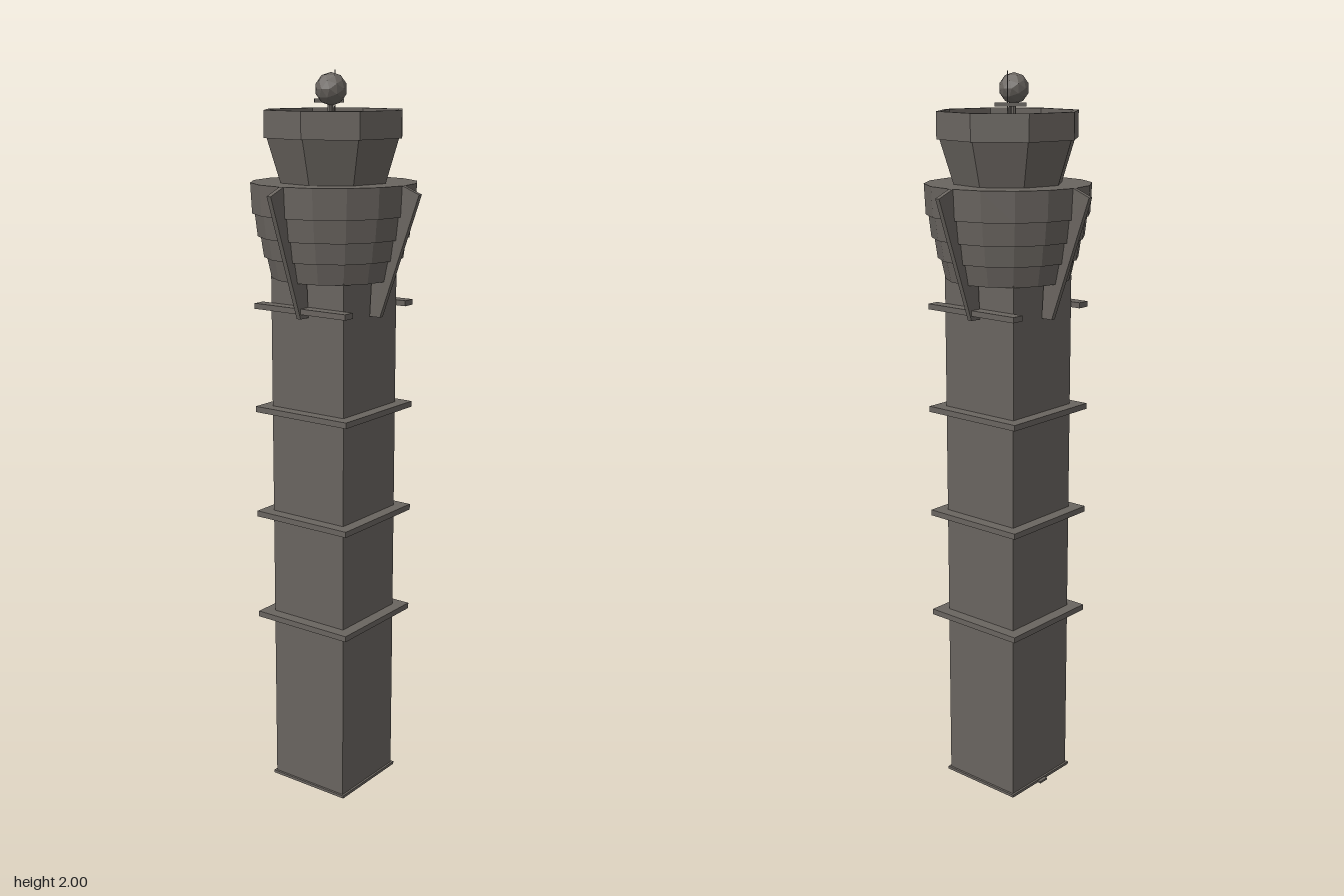
import * as THREE from 'three';

const concrete = new THREE.MeshStandardMaterial({ color: 0x69645f, flatShading: true, side: THREE.DoubleSide });
concrete.name = 'concrete grey';

export function createModel() {
  const tower = new THREE.Group();
  tower.name = 'controlTower';

  const add = (name, geometry, x = 0, y = 0, z = 0, turn = 0) => {
    const mesh = new THREE.Mesh(geometry, concrete);
    mesh.name = name;
    mesh.position.set(x, y, z);
    mesh.rotation.y = turn;
    tower.add(mesh);
    return mesh;
  };
  // Faceted solid of revolution from [radius, height] pairs, bottom to top
  const lathe = (points, sides) =>
    new THREE.LatheGeometry(points.map(([r, y]) => new THREE.Vector2(r, y)), sides);
  // Square collar around the shaft
  const collar = (name, half, low, high) => {
    const inner = 0.119 * Math.SQRT2, outer = half * Math.SQRT2;
    add(name, lathe([[inner, low], [outer, low], [outer, high], [inner, high]], 4), 0, 0, 0, Math.PI / 4);
  };

  // Square hollow shaft, footing and ledges
  const r = 0.12 * Math.SQRT2;
  add('shaft', lathe([[r, 0], [r, 1.47]], 4), 0, 0, 0, Math.PI / 4);
  collar('footing', 0.126, 0, 0.008);
  for (const y of [0.505, 0.805, 1.105]) collar('shaftLedge', 0.153, y - 0.008, y + 0.008);
  add('doorStep', new THREE.BoxGeometry(0.03, 0.006, 0.012), 0, 0.003, -0.13);

  // Short ledges under the pod, on two sides only
  for (const side of [-1, 1])
    add('sideLedge', new THREE.BoxGeometry(0.035, 0.015, 0.3), side * 0.137, 1.39, 0);

  // Sixteen-sided pod with flared, stepped tiers
  add('pod', lathe([
    [0, 1.465], [0.168, 1.465], [0.18, 1.52],
    [0.188, 1.52], [0.196, 1.575],
    [0.204, 1.575], [0.211, 1.635],
    [0.218, 1.635], [0.222, 1.715], [0, 1.715],
  ], 16));

  // Four slanted fins bracing the pod
  const outline = new THREE.Shape([
    [0.122, 1.37], [0.155, 1.37], [0.272, 1.695], [0.222, 1.715], [0.17, 1.6], [0.127, 1.46],
  ].map(([x, y]) => new THREE.Vector2(x, y)));
  const finGeometry = new THREE.ExtrudeGeometry(outline, { depth: 0.013, bevelEnabled: false });
  finGeometry.translate(0, 0, -0.0065);
  for (let i = 0; i < 4; i++) add('fin', finGeometry, 0, 0, 0, i * Math.PI / 2);

  // Eight-sided cab with parapet and sunken roof
  add('cab', lathe([
    [0.148, 1.715], [0.184, 1.83], [0.192, 1.83], [0.192, 1.9],
    [0.18, 1.9], [0.18, 1.855], [0, 1.855],
  ], 8), 0, 0, 0, 0.195);

  // Roof equipment
  add('radome', new THREE.IcosahedronGeometry(0.041, 1), -0.093, 1.953, 0.06);
  add('radomePost', new THREE.CylinderGeometry(0.006, 0.006, 0.065, 6), -0.093, 1.887, 0.06);
  add('radarBar', new THREE.BoxGeometry(0.08, 0.01, 0.012), 0.097, 1.92, -0.09, -0.85);
  add('radarPost', new THREE.CylinderGeometry(0.004, 0.004, 0.065, 6), 0.09, 1.887, -0.085);
  add('roofHatch', new THREE.BoxGeometry(0.05, 0.025, 0.052), 0.01, 1.867, -0.092);
  add('mast', new THREE.CylinderGeometry(0.0012, 0.002, 0.145, 5), 0.003, 1.9275, 0);

  return tower;
}
